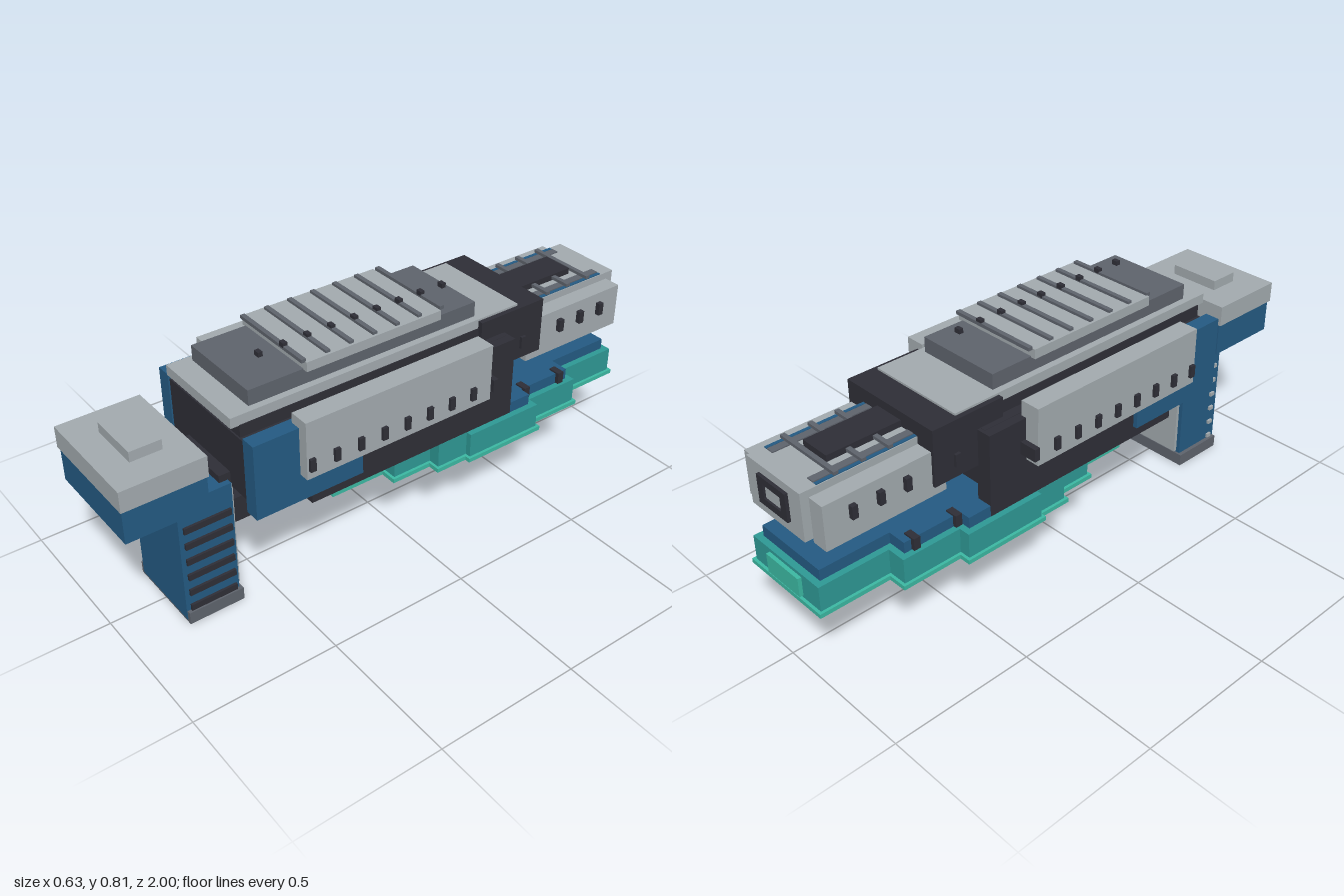
import * as THREE from 'three';

const mat = (name, color) => {
  const m = new THREE.MeshStandardMaterial({ color });
  m.name = name;
  return m;
};

export function createModel() {
  const light = mat('lightGrey', 0xa2aaae);
  const mid = mat('midGrey', 0x5e636c);
  const dark = mat('charcoal', 0x2e2e36);
  const blue = mat('blue', 0x245a82);
  const teal = mat('teal', 0x2e9894);
  const mint = mat('mint', 0x3cb8a2);

  const model = new THREE.Group();
  model.name = 'blaster';

  // Box from its extents along each axis
  const box = (name, m, [x0, x1], [y0, y1], [z0, z1]) => {
    const mesh = new THREE.Mesh(new THREE.BoxGeometry(x1 - x0, y1 - y0, z1 - z0), m);
    mesh.position.set((x0 + x1) / 2, (y0 + y1) / 2, (z0 + z1) / 2);
    mesh.name = name;
    model.add(mesh);
  };
  // Box centred on x, and a mirrored pair of boxes
  const mid0 = (name, m, w, y, z) => box(name, m, [-w, w], y, z);
  const pair = (name, m, [x0, x1], y, z) => {
    box(name + 'Left', m, [x0, x1], y, z);
    box(name + 'Right', m, [-x1, -x0], y, z);
  };

  // Grip with ribs on one side and rivets on the other
  mid0('grip', blue, 0.14, [0.01, 0.455], [0.615, 0.805]);
  mid0('gripBase', mid, 0.154, [0, 0.044], [0.607, 0.803]);
  mid0('gripFrontStrap', light, 0.125, [0.05, 0.44], [0.603, 0.616]);
  for (let i = 0; i < 6; i++) {
    const y = 0.056 + i * 0.06;
    box('gripRib', dark, [0.138, 0.149], [y - 0.011, y + 0.011], [0.625, 0.79]);
    box('gripRivet', light, [-0.149, -0.138], [y - 0.007, y + 0.007], [0.765, 0.785]);
  }
  mid0('trigger', dark, 0.11, [0.275, 0.365], [0.48, 0.616]);
  mid0('gripJoint', dark, 0.12, [0.42, 0.48], [0.59, 0.645]);

  // Rear stock block
  mid0('stock', blue, 0.19, [0.443, 0.56], [0.72, 0.995]);
  mid0('stockTop', light, 0.198, [0.56, 0.633], [0.718, 1.0]);
  mid0('stockButton', light, 0.093, [0.633, 0.668], [0.802, 0.908]);

  // Main body and side armour
  mid0('body', dark, 0.22, [0.428, 0.638], [-0.4, 0.605]);
  mid0('upperBody', dark, 0.185, [0.638, 0.68], [-0.4, 0.6]);
  mid0('frontCollar', dark, 0.2, [0.51, 0.706], [-0.58, -0.31]);
  pair('lowerRail', dark, [0.195, 0.252], [0.347, 0.637], [-0.412, 0.402]);
  pair('sidePlate', blue, [0.214, 0.268], [0.39, 0.655], [0.22, 0.61]);
  pair('sidePanel', light, [0.232, 0.304], [0.488, 0.69], [-0.265, 0.452]);
  for (let i = 0; i < 8; i++) {
    const z = 0.435 - i * 0.089;
    pair('sideStud', dark, [0.3, 0.315], [0.518, 0.562], [z - 0.01, z + 0.01]);
  }
  pair('railStud', dark, [0.25, 0.315], [0.518, 0.562], [-0.288, -0.268]);

  // Stacked top plates with cross bars
  mid0('topSlab', light, 0.182, [0.678, 0.713], [-0.48, 0.628]);
  mid0('ridgeBase', mid, 0.158, [0.713, 0.766], [-0.312, 0.55]);
  mid0('ridgeCap', light, 0.175, [0.762, 0.795], [-0.155, 0.355]);
  for (let i = 0; i < 9; i++) {
    const z = 0.447 - i * 0.0875;
    if (i > 0 && i < 8) mid0('crossBar', mid, 0.166, [0.792, 0.804], [z - 0.008, z + 0.008]);
    box('barStud', dark, [0.049, 0.071], [0.798, 0.814], [z - 0.008, z + 0.008]);
  }

  // Barrel
  mid0('barrel', light, 0.13, [0.49, 0.655], [-0.988, -0.53]);
  pair('barrelCheek', light, [0.13, 0.19], [0.476, 0.63], [-0.96, -0.53]);
  pair('barrelGroove', mid, [0.085, 0.112], [0.652, 0.659], [-0.93, -0.58]);
  pair('barrelStripe', blue, [0.115, 0.127], [0.652, 0.658], [-0.93, -0.58]);
  mid0('barrelSight', dark, 0.056, [0.655, 0.677], [-0.845, -0.57]);
  for (const z of [-0.675, -0.77, -0.865]) {
    mid0('barrelBar', mid, 0.13, [0.66, 0.671], [z - 0.008, z + 0.008]);
    pair('barrelStud', dark, [0.188, 0.207], [0.55, 0.594], [z - 0.01, z + 0.01]);
  }
  pair('collarStud', dark, [0.198, 0.21], [0.55, 0.594], [-0.505, -0.485]);

  // Muzzle frame of four strips around a pale plate
  const mz = [-0.999, -0.985];
  pair('muzzleSide', dark, [0.042, 0.07], [0.53, 0.627], mz);
  mid0('muzzleTop', dark, 0.042, [0.603, 0.627], mz);
  mid0('muzzleBottom', dark, 0.042, [0.53, 0.554], mz);
  mid0('muzzlePlate', light, 0.042, [0.554, 0.603], [-0.992, -0.985]);

  // Stepped under-board: [start z, end z, half width]
  const steps = [
    [0.05, 0.25, 0.15], [-0.1, 0.05, 0.21], [-0.22, -0.1, 0.253],
    [-0.52, -0.22, 0.273], [-0.735, -0.52, 0.233], [-0.985, -0.735, 0.165],
  ];
  // One closed outline, so the steps have no inner walls
  const board = (name, m, grow, y0, y1, list) => {
    const right = [];
    list.forEach(([z0, z1, w], i) => {
      const prev = list[i - 1], next = list[i + 1];
      const a = z1 + (!prev || prev[2] < w ? grow : -grow);
      const b = z0 - (!next || next[2] < w ? grow : -grow);
      right.push([w + grow, -a], [w + grow, -b]);
    });
    const left = right.map(([x, z]) => [-x, z]).reverse();
    const shape = new THREE.Shape([...right, ...left].map(p => new THREE.Vector2(...p)));
    const geo = new THREE.ExtrudeGeometry(shape, { depth: y1 - y0, bevelEnabled: false });
    geo.rotateX(-Math.PI / 2).translate(0, y0, 0);
    const mesh = new THREE.Mesh(geo, m);
    mesh.name = name;
    model.add(mesh);
  };
  board('underBoard', teal, 0, 0.25, 0.347, steps);
  board('underBoardFlange', mint, 0.01, 0.245, 0.26, steps);
  board('underDeck', blue, -0.022, 0.345, 0.386, steps);
  mid0('noseLight', mint, 0.08, [0.268, 0.335], [-0.998, -0.98]);
  for (const [z, x] of [[-0.515, 0.2], [-0.675, 0.2]])
    pair('deckStud', dark, [x - 0.02, x + 0.025], [0.35, 0.392], [z - 0.012, z + 0.012]);

  return model;
}
